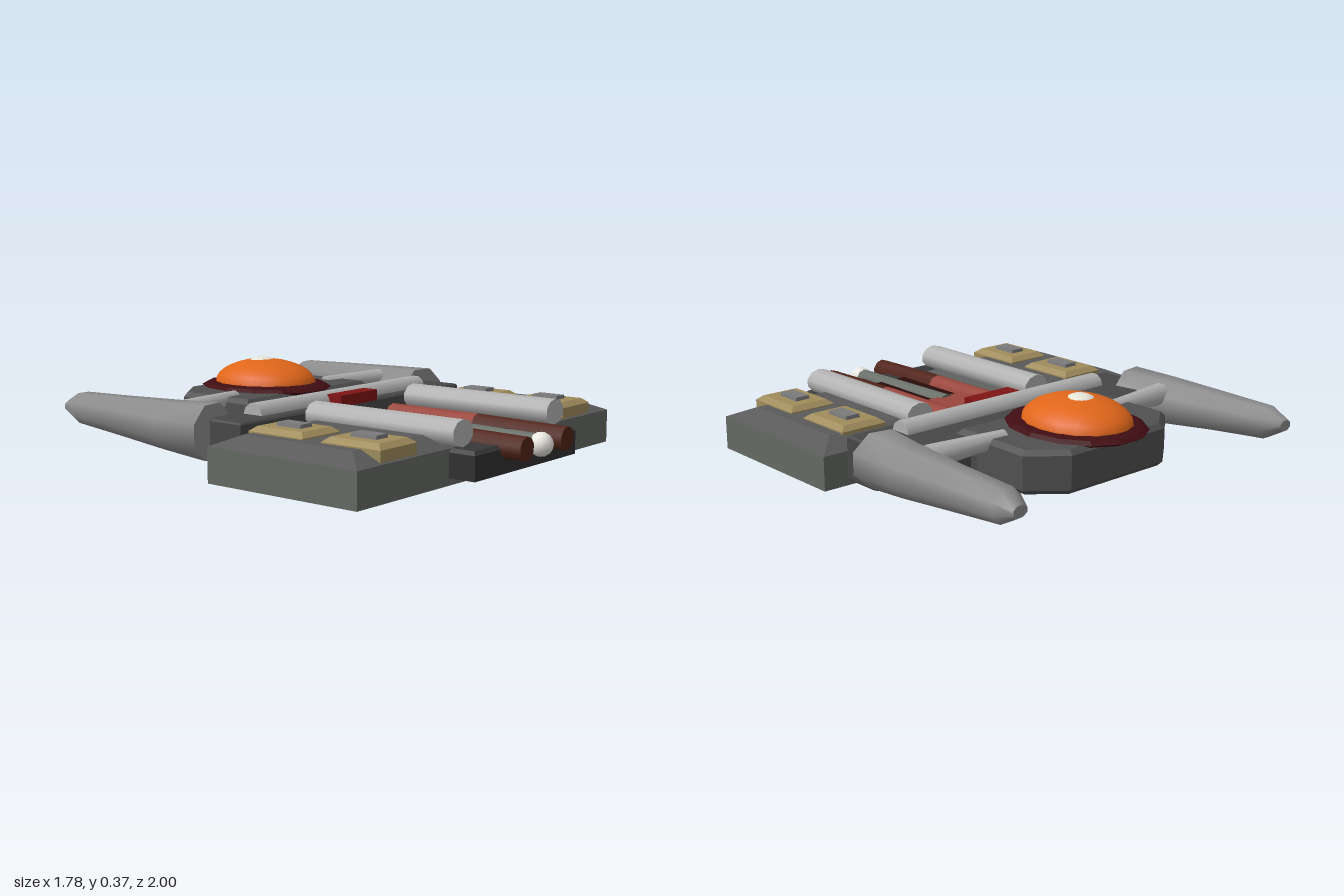
import * as THREE from 'three';

const CX = 0.035; // centre line of the hull

export function createModel() {
  const model = new THREE.Group();

  function add(name, geometry, color, flat = true) {
    const material = new THREE.MeshStandardMaterial({ color, flatShading: flat });
    const mesh = new THREE.Mesh(geometry, material);
    mesh.name = name;
    model.add(mesh);
    return mesh;
  }

  // Box given by its limits, with the top drawn in by inset
  function block(name, [x0, x1], [y0, y1], [z0, z1], color, inset = 0) {
    const w = x1 - x0, d = z1 - z0;
    const g = new THREE.BoxGeometry(w, y1 - y0, d);
    const p = g.attributes.position;
    for (let i = 0; i < p.count; i++) {
      if (p.getY(i) > 0) {
        p.setX(i, p.getX(i) * (1 - 2 * inset / w));
        p.setZ(i, p.getZ(i) * (1 - 2 * inset / d));
      }
    }
    g.computeVertexNormals();
    const m = add(name, g, color);
    m.position.set((x0 + x1) / 2, (y0 + y1) / 2, (z0 + z1) / 2);
    return m;
  }

  // Tapered rod between two points
  function rod(name, from, to, r0, r1, color, sides = 10) {
    const a = new THREE.Vector3(...from), b = new THREE.Vector3(...to);
    const dir = b.clone().sub(a);
    const m = add(name, new THREE.CylinderGeometry(r1, r0, dir.length(), sides), color, false);
    m.position.copy(a).add(b).multiplyScalar(0.5);
    m.quaternion.setFromUnitVectors(new THREE.Vector3(0, 1, 0), dir.normalize());
    return m;
  }

  // Flat plate from an outline of [x, z] points
  function plate(name, points, y0, y1, bevel, color) {
    const shape = new THREE.Shape(points.map(([x, z]) => new THREE.Vector2(x, -z)));
    const g = new THREE.ExtrudeGeometry(shape, {
      depth: y1 - y0 - 2 * bevel, bevelEnabled: bevel > 0, bevelSize: bevel,
      bevelThickness: bevel, bevelOffset: -bevel, bevelSegments: 1,
    });
    g.rotateX(-Math.PI / 2);
    g.translate(0, y0 + bevel, 0);
    return add(name, g, color);
  }

  function ellipsoid(name, center, radii, color, flat, wSeg, hSeg, theta = Math.PI) {
    const g = new THREE.SphereGeometry(1, wSeg, hSeg, 0, Math.PI * 2, 0, theta);
    g.scale(...radii);
    const m = add(name, g, color, flat);
    m.position.set(...center);
    return m;
  }

  // Side decks with sloped tops
  for (const [side, x] of [['right', [-0.89, -0.21]], ['left', [0.28, 0.89]]]) {
    block(side + 'Deck', x, [0, 0.145], [0.03, 0.77], 0x646963);
    block(side + 'DeckTop', x, [0.145, 0.19], [0.03, 0.77], 0x5a5a5a, 0.1);
  }

  // Hatches on the decks
  for (const x of [-0.635, 0.63]) {
    for (const z of [0.25, 0.62]) {
      block('hatchBase', [x - 0.11, x + 0.11], [0.14, 0.195], [z - 0.14, z + 0.14], 0xa08c5c);
      block('hatchRim', [x - 0.11, x + 0.11], [0.195, 0.215], [z - 0.14, z + 0.14], 0xa08c5c, 0.025);
      block('hatchWindow', [x - 0.0375, x + 0.0375], [0.2, 0.23], [z - 0.065, z + 0.065], 0x7a7a7a, 0.005);
    }
  }

  // Central bay and nose
  block('bayFloor', [-0.21, 0.28], [0.02, 0.155], [0.03, 0.74], 0x2a0c0c);
  block('nose', [-0.335, 0.405], [0.03, 0.13], [0.7, 0.89], 0x303030);
  block('noseTop', [-0.335, 0.405], [0.13, 0.145], [0.7, 0.89], 0x383838, 0.015);
  block('crossbar', [-0.18, 0.25], [0.12, 0.17], [0.16, 0.32], 0x9a463c);

  for (const s of [-1, 1]) {
    // Large pale tubes
    const x = CX + s * 0.335;
    rod('paleTube', [x, 0.204, 0.07], [x, 0.204, 0.81], 0.068, 0.068, 0xb4b4b4, 10).scale.z = 0.8;

    // Twin barrels, light at the back and dark in front
    const bx = CX + s * 0.15;
    rod('barrelRear', [bx, 0.14, 0.1], [bx, 0.14, 0.55], 0.053, 0.053, 0x9a463c);
    rod('barrelFront', [bx, 0.14, 0.55], [bx, 0.135, 0.98], 0.053, 0.05, 0x52241a);
  }

  // Centre rod with a ball tip
  rod('centreRod', [CX, 0.14, 0.3], [CX, 0.13, 0.94], 0.042, 0.042, 0x6a706a);
  ellipsoid('rodTip', [CX, 0.13, 0.95], [0.05, 0.05, 0.05], 0xe8e6e0, false, 12, 8);

  // Rear hull, bar and red block
  const half = [[0.74, 0.03], [0.74, -0.14], [0.61, -0.3], [0.405, -0.34], [0.405, -0.38]];
  const outline = (pts) => [
    ...pts.map(([x, z]) => [CX + x, z]),
    ...pts.slice().reverse().map(([x, z]) => [CX - x, z]),
  ];
  plate('rearHull', outline(half), 0.02, 0.21, 0.008, 0x474747);
  rod('rearBar', [-0.52, 0.207, -0.08], [0.59, 0.207, -0.08], 0.052, 0.052, 0xb0b0b0);
  block('redBlock', [-0.09, 0.16], [0.2, 0.25], [-0.045, 0.03], 0x801414);

  // Cabin with chamfered back corners
  plate('cabin', outline([[0.405, -0.25], [0.405, -0.64], [0.26, -0.76]]), 0.055, 0.235, 0.02, 0x505050);

  // Dome on its dark collar
  ellipsoid('domeCollar', [CX, 0.235, -0.52], [0.265, 0.035, 0.32], 0x400d12, true, 14, 8);
  ellipsoid('dome', [CX, 0.245, -0.525], [0.21, 0.112, 0.25], 0xe0661a, false, 18, 8, Math.PI / 2);
  ellipsoid('domeCap', [CX, 0.335, -0.54], [0.068, 0.031, 0.068], 0xe8e4d8, false, 14, 6);

  // Swept tail pods, lofted from [z, inner x, outer x, bottom, top] sections
  const sections = [
    [-0.155, 0.59, 0.832, 0.04, 0.266],
    [-0.37, 0.622, 0.838, 0.063, 0.26],
    [-0.64, 0.655, 0.822, 0.09, 0.253],
    [-0.92, 0.672, 0.808, 0.115, 0.246],
    [-1.0, 0.715, 0.78, 0.16, 0.205],
  ];
  function podGeometry(s) {
    const n = 8, pos = [], idx = [];
    sections.forEach(([z, xi, xo, y0, y1], k) => {
      for (let j = 0; j < n; j++) {
        const a = (j + 0.5) / n * Math.PI * 2;
        const c = Math.cos(a) / Math.cos(Math.PI / n), d = Math.sin(a) / Math.cos(Math.PI / n);
        const skew = k === 0 ? c * 0.018 : 0; // slanted front end
        pos.push(CX + s * ((xi + xo) / 2 + c * (xo - xi) / 2), (y0 + y1) / 2 + d * (y1 - y0) / 2, z + skew);
      }
    });
    const tri = (a, b, c) => (s > 0 ? idx.push(a, b, c) : idx.push(a, c, b));
    for (let k = 0; k < sections.length - 1; k++) {
      for (let j = 0; j < n; j++) {
        const a = k * n + j, b = k * n + (j + 1) % n;
        tri(a, a + n, b);
        tri(b, a + n, b + n);
      }
    }
    // End caps with their own corners
    for (const k of [0, sections.length - 1]) {
      const base = pos.length / 3;
      pos.push(...pos.slice(k * n * 3, (k + 1) * n * 3));
      for (let j = 1; j < n - 1; j++) {
        if (k === 0) tri(base, base + j, base + j + 1);
        else tri(base, base + j + 1, base + j);
      }
    }
    const g = new THREE.BufferGeometry();
    g.setAttribute('position', new THREE.Float32BufferAttribute(pos, 3));
    g.setIndex(idx);
    g.computeVertexNormals();
    return g;
  }
  for (const s of [-1, 1]) {
    add('tailPod', podGeometry(s), 0x8c8c8c, false);
    rod('podStrut', [CX + s * 0.66, 0.205, -0.385], [CX + s * 0.305, 0.22, -0.425], 0.05, 0.032, 0xb0b0b0);
  }

  return model;
}
